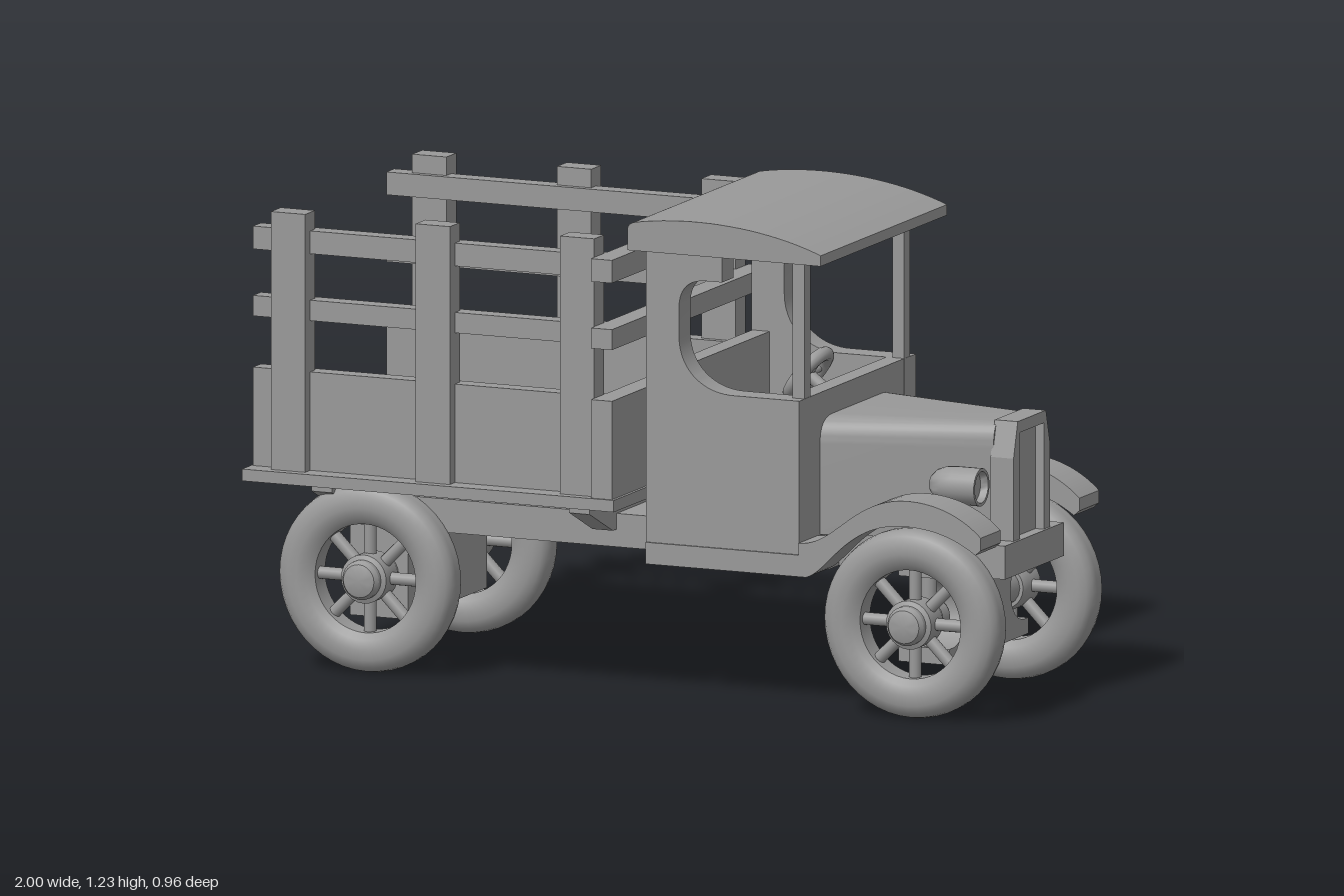
import * as THREE from 'three';
import { toCreasedNormals } from 'three/addons/utils/BufferGeometryUtils.js';

const material = new THREE.MeshStandardMaterial({ color: 0x999999 });
const V2 = (x, y) => new THREE.Vector2(x, y);
const V3 = (x, y, z) => new THREE.Vector3(x, y, z);

export function createModel() {
  const truck = new THREE.Group();
  truck.name = 'stakeBedTruck';

  function add(name, geometry, parent = truck) {
    const mesh = new THREE.Mesh(geometry, material);
    mesh.name = name;
    parent.add(mesh);
    return mesh;
  }
  // Box given by its limits on each axis
  function box(name, x0, x1, y0, y1, z0, z1) {
    const g = new THREE.BoxGeometry(x1 - x0, y1 - y0, z1 - z0);
    return add(name, g.translate((x0 + x1) / 2, (y0 + y1) / 2, (z0 + z1) / 2));
  }
  // Side profile in x,y extruded from z0 to z1
  function sideExtrude(name, shape, z0, z1) {
    const g = new THREE.ExtrudeGeometry(shape, { depth: z1 - z0, bevelEnabled: false, curveSegments: 20 });
    return add(name, toCreasedNormals(g.translate(0, 0, z0), 0.6));
  }
  // Symmetric front profile in z,y extruded from x0 to x1
  function frontGeometry(shape, x0, x1) {
    const g = new THREE.ExtrudeGeometry(shape, { depth: x1 - x0, bevelEnabled: false, curveSegments: 12 });
    return g.rotateY(Math.PI / 2).translate(x0, 0, 0);
  }
  function rod(name, a, b, r, parent = truck, sides = 16) {
    const d = b.clone().sub(a);
    const m = add(name, new THREE.CylinderGeometry(r, r, d.length(), sides), parent);
    m.position.copy(a).add(b).multiplyScalar(0.5);
    m.quaternion.setFromUnitVectors(V3(0, 1, 0), d.normalize());
    return m;
  }

  // Chassis, cab floor and tapered bed supports
  box('chassis', -0.88, 0.955, 0.345, 0.43, -0.177, 0.177);
  box('cabFloor', 0.052, 0.5, 0.346, 0.4, -0.24, 0.24);
  for (const x of [-0.845, -0.138]) {
    const s = new THREE.Shape([
      V2(-0.34, 0.497), V2(-0.34, 0.455), V2(-0.2, 0.39), V2(0.2, 0.39), V2(0.34, 0.455), V2(0.34, 0.497)]);
    add('bedSupport', frontGeometry(s, x - 0.028, x + 0.028));
  }

  // Bed: floor, front gate, side boards, rails and stakes
  box('bedFloor', -1, 0.02, 0.495, 0.525, -0.48, 0.48);
  const levels = [[0.525, 0.775], [0.905, 0.957], [1.075, 1.133]];
  for (const [y0, y1] of levels) {
    box('frontGateBoard', -0.045, 0.012, y0, y1, -0.474, 0.474);
    for (const s of [-1, 1]) {
      const z = [0.377 * s, 0.425 * s].sort((a, b) => a - b);
      box('sideBoard', -0.995, -0.045, y0, y1, ...z);
    }
  }
  for (const x of [-0.885, -0.488, -0.092])
    for (const s of [-1, 1])
      box('stake', x - 0.047, x + 0.047, 0.525, 1.18, 0.425 * s - 0.03, 0.425 * s + 0.03);

  // Cab sides with curved door opening, front posts, panels
  const side = new THREE.Shape();
  side.moveTo(0.05, 0.398);
  side.lineTo(0.47, 0.398);
  side.lineTo(0.47, 0.79);
  side.lineTo(0.29, 0.79);
  side.bezierCurveTo(0.2, 0.79, 0.14, 0.85, 0.14, 0.93);
  side.lineTo(0.14, 1.0);
  side.quadraticCurveTo(0.14, 1.075, 0.215, 1.075);
  side.lineTo(0.258, 1.075);
  side.lineTo(0.258, 1.15);
  side.lineTo(0.05, 1.15);
  for (const s of [-1, 1]) {
    const [z0, z1] = [0.282 * s, 0.351 * s].sort((a, b) => a - b);
    sideExtrude('cabSide', side, z0, z1);
    box('windshieldPost', 0.437, 0.469, 0.78, 1.15, 0.3 * s - 0.018, 0.3 * s + 0.018);
  }
  box('cabFrontPanel', 0.42, 0.469, 0.4, 0.79, -0.283, 0.283);
  box('cabBackPanel', 0.052, 0.1, 0.4, 0.83, -0.283, 0.283);
  box('seat', 0.1, 0.23, 0.4, 0.6, -0.283, 0.283);

  // Arched roof
  const roof = new THREE.Shape();
  roof.moveTo(0.012, 1.143);
  roof.lineTo(0.542, 1.143);
  roof.lineTo(0.542, 1.17);
  roof.bezierCurveTo(0.4, 1.225, 0.2, 1.245, 0.03, 1.215);
  roof.quadraticCurveTo(0.012, 1.21, 0.012, 1.195);
  sideExtrude('roof', roof, -0.38, 0.38);

  // Steering wheel with column and spokes
  const steering = new THREE.Group();
  steering.name = 'steeringWheel';
  const c = V3(0.262, 0.755, -0.16);
  const axis = V3(-0.8, 0.6, 0);
  steering.position.copy(c);
  steering.quaternion.setFromUnitVectors(V3(0, 0, 1), axis);
  add('steeringRim', new THREE.TorusGeometry(0.068, 0.018, 12, 32), steering);
  for (let i = 0; i < 4; i++) {
    const a = (i + 0.5) * Math.PI / 2;
    rod('steeringSpoke', V3(0, 0, 0), V3(0.068 * Math.cos(a), 0.068 * Math.sin(a), 0), 0.01, steering, 8);
  }
  truck.add(steering);
  rod('steeringColumn', c.clone().addScaledVector(axis, 0.012), c.clone().addScaledVector(axis, -0.22), 0.016);

  // Hood narrowing towards the radiator
  const hood = new THREE.Shape();
  hood.moveTo(-0.225, 0.43);
  hood.lineTo(0.225, 0.43);
  hood.lineTo(0.225, 0.66);
  hood.quadraticCurveTo(0.225, 0.725, 0.15, 0.725);
  hood.lineTo(-0.15, 0.725);
  hood.quadraticCurveTo(-0.225, 0.725, -0.225, 0.66);
  const hoodGeo = frontGeometry(hood, 0.465, 0.89);
  const p = hoodGeo.attributes.position;
  for (let i = 0; i < p.count; i++) {
    const t = (p.getX(i) - 0.465) / 0.425;
    p.setZ(i, p.getZ(i) * (1 - 0.54 * t));
  }
  add('hood', toCreasedNormals(hoodGeo, 0.6));

  // Radiator surround with a recessed core
  const rad = new THREE.Shape([
    V2(-0.11, 0.43), V2(-0.072, 0.43), V2(-0.072, 0.7), V2(0.072, 0.7), V2(0.072, 0.43),
    V2(0.11, 0.43), V2(0.11, 0.64), V2(0.085, 0.73), V2(-0.085, 0.73), V2(-0.11, 0.64)]);
  add('radiatorSurround', frontGeometry(rad, 0.885, 0.948));
  box('radiatorCore', 0.885, 0.925, 0.43, 0.7, -0.073, 0.073);

  // Bullet headlights with a hollow front
  const lampProfile = [
    V2(0, 0), V2(0.022, 0.006), V2(0.038, 0.022), V2(0.046, 0.045), V2(0.048, 0.07),
    V2(0.048, 0.14), V2(0.04, 0.14), V2(0.038, 0.12), V2(0, 0.12)];
  for (const s of [-1, 1]) {
    const g = new THREE.LatheGeometry(lampProfile, 24).rotateZ(-Math.PI / 2);
    add('headlight', toCreasedNormals(g, 0.7)).position.set(0.752, 0.575, 0.18 * s);
    rod('headlightBracket', V3(0.81, 0.575, 0.16 * s), V3(0.81, 0.575, 0.1 * s), 0.018);
  }

  // Running boards sweeping up into the front fenders
  const fender = new THREE.Shape();
  fender.moveTo(0.05, 0.345);
  fender.lineTo(0.49, 0.345);
  fender.bezierCurveTo(0.55, 0.36, 0.6, 0.495, 0.76, 0.495);
  fender.bezierCurveTo(0.84, 0.495, 0.9, 0.475, 0.955, 0.437);
  fender.lineTo(0.97, 0.45);
  fender.lineTo(0.97, 0.482);
  fender.bezierCurveTo(0.92, 0.53, 0.85, 0.56, 0.77, 0.56);
  fender.bezierCurveTo(0.62, 0.56, 0.57, 0.43, 0.47, 0.43);
  fender.lineTo(0.47, 0.4);
  fender.lineTo(0.05, 0.4);
  for (const s of [-1, 1]) {
    const [z0, z1] = [0.237 * s, 0.356 * s].sort((a, b) => a - b);
    sideExtrude('runningBoardAndFender', fender, z0, z1);
  }

  // Axle beams: plain at the rear, notched around the steering hubs at the front
  box('rearAxle', -0.815, -0.655, 0.128, 0.36, -0.237, 0.237);
  const axle = new THREE.Shape();
  axle.moveTo(-0.237, 0.128);
  axle.lineTo(0.237, 0.128);
  axle.lineTo(0.237, 0.168);
  axle.bezierCurveTo(0.095, 0.155, 0.095, 0.35, 0.237, 0.345);
  axle.lineTo(0.237, 0.393);
  axle.lineTo(-0.237, 0.393);
  axle.lineTo(-0.237, 0.345);
  axle.bezierCurveTo(-0.095, 0.35, -0.095, 0.155, -0.237, 0.168);
  add('frontAxle', toCreasedNormals(frontGeometry(axle, 0.69, 0.83), 0.6));
  for (const s of [-1, 1]) {
    rod('kingpin', V3(0.76, 0.14, 0.205 * s), V3(0.76, 0.38, 0.205 * s), 0.02);
    rod('steeringHub', V3(0.76, 0.24, 0.19 * s), V3(0.76, 0.24, 0.27 * s), 0.046);
    add('hubDome', new THREE.SphereGeometry(0.046, 20, 14)).position.set(0.76, 0.24, 0.19 * s);
  }

  // Spoked wheels: rounded tyre, eight spokes, stepped hub
  const tyre = [
    V2(0.138, -0.03), V2(0.155, -0.045), V2(0.18, -0.052), V2(0.205, -0.05), V2(0.225, -0.042),
    V2(0.236, -0.028), V2(0.24, -0.01), V2(0.24, 0.01), V2(0.236, 0.028), V2(0.225, 0.042),
    V2(0.205, 0.05), V2(0.18, 0.052), V2(0.155, 0.045), V2(0.138, 0.03), V2(0.138, -0.03)];
  const hub = [
    V2(0, -0.05), V2(0.055, -0.05), V2(0.062, -0.03), V2(0.062, 0.04), V2(0.05, 0.045),
    V2(0.05, 0.058), V2(0.042, 0.07), V2(0.03, 0.074), V2(0, 0.076)];
  for (const x of [-0.735, 0.76])
    for (const s of [-1, 1]) {
      const wheel = new THREE.Group();
      wheel.name = 'wheel';
      wheel.position.set(x, 0.24, 0.289 * s);
      if (s < 0) wheel.rotation.y = Math.PI;
      add('tyre', toCreasedNormals(new THREE.LatheGeometry(tyre, 48).rotateX(Math.PI / 2), 0.7), wheel);
      add('hub', toCreasedNormals(new THREE.LatheGeometry(hub, 24).rotateX(Math.PI / 2), 0.5), wheel);
      for (let i = 0; i < 8; i++) {
        const a = i * Math.PI / 4;
        rod('spoke', V3(0.04 * Math.cos(a), 0.04 * Math.sin(a), 0),
          V3(0.15 * Math.cos(a), 0.15 * Math.sin(a), 0), 0.016, wheel, 12);
      }
      truck.add(wheel);
    }
  return truck;
}
